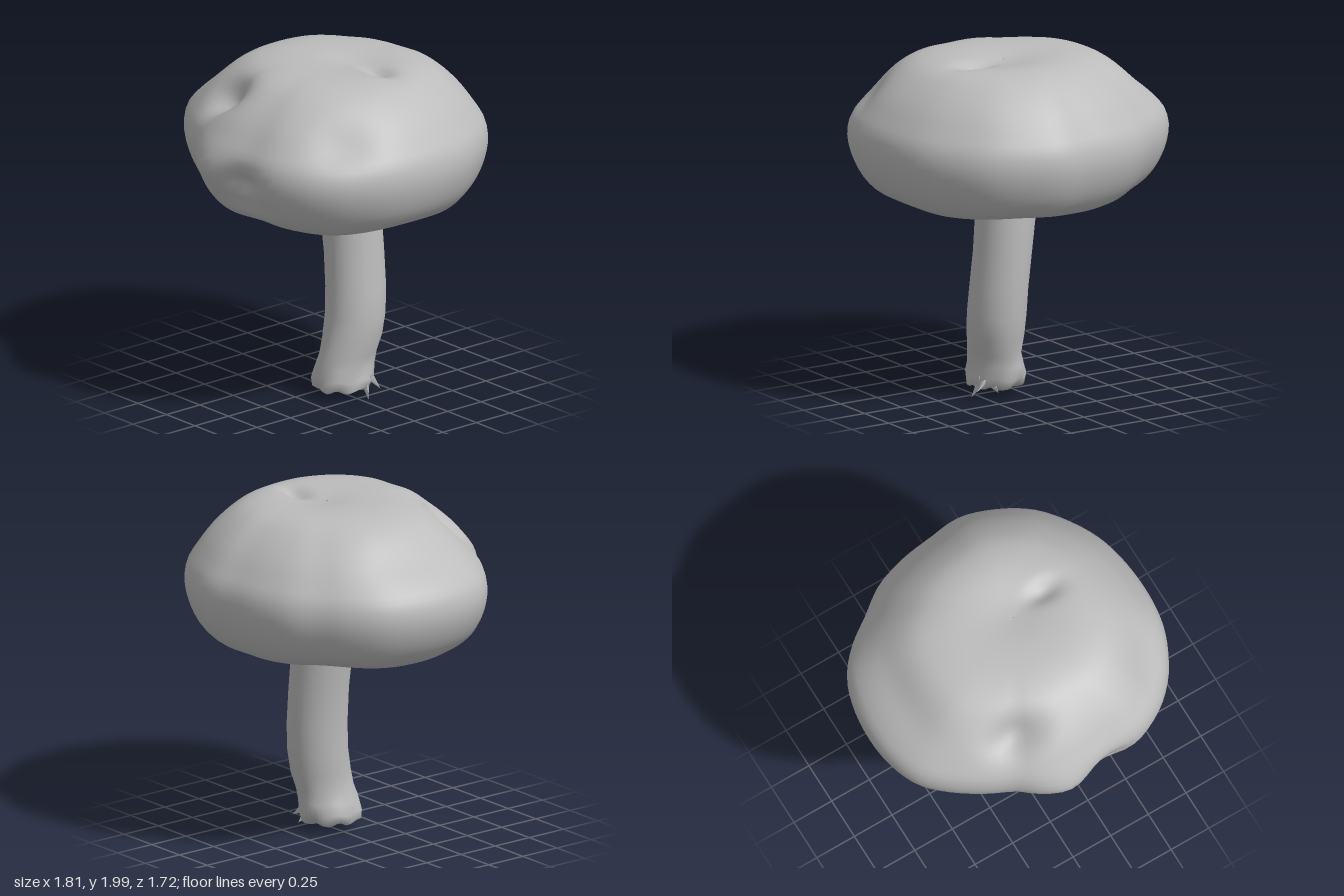
import * as THREE from 'three';

const V3 = (x, y, z) => new THREE.Vector3(x, y, z);

// Smooth closed-around surface through rings of points, listed from start to end of the profile
function loft(rings) {
  const n = rings[0].length, pos = [], idx = [];
  rings.forEach(r => r.forEach(p => pos.push(p.x, p.y, p.z)));
  for (let j = 0; j < rings.length - 1; j++) {
    for (let i = 0; i < n; i++) {
      const a = j * n + i, b = j * n + (i + 1) % n, c = a + n, d = b + n;
      idx.push(a, c, b, b, c, d);
    }
  }
  const g = new THREE.BufferGeometry();
  g.setAttribute('position', new THREE.Float32BufferAttribute(pos, 3));
  g.setIndex(idx);
  g.computeVertexNormals();
  return g;
}

// Rounded push: centre, radii along x, y and z, and the offset at the centre
const dents = [
  { c: [-0.24, 1.81, 0.53], r: [0.19, 0.12, 0.13], d: [0.03, -0.07, -0.06] },  // scooped hollow
  { c: [0.18, 1.46, 0.82], r: [0.12, 0.07, 0.2], d: [0, 0, -0.07] },           // pinched pit
  { c: [0.18, 1.34, 0.74], r: [0.22, 0.06, 0.2], d: [0, 0, -0.03] },           // fold under the pit
  { c: [-0.1, 1.5, 0.85], r: [0.16, 0.1, 0.2], d: [0, 0, 0.03] },              // swelling beside it
  { c: [0.32, 1.98, -0.1], r: [0.12, 0.3, 0.07], d: [0, -0.05, 0] },           // crease on the crown
  { c: [0.15, 1.98, -0.12], r: [0.25, 0.3, 0.2], d: [0, -0.03, 0] },           // shallow crown dip
  { c: [0.62, 1.72, 0.45], r: [0.2, 0.16, 0.2], d: [-0.03, -0.03, -0.02] },    // flattened shoulder
  { c: [-0.7, 1.82, 0], r: [0.2, 0.15, 0.5], d: [0.02, -0.03, 0] }
];
function push(p) {
  const out = p.clone();
  for (const { c, r, d } of dents) {
    const q = ((p.x - c[0]) / r[0]) ** 2 + ((p.y - c[1]) / r[1]) ** 2 + ((p.z - c[2]) / r[2]) ** 2;
    const w = Math.exp(-q * 1.3);
    out.add(V3(d[0] * w, d[1] * w, d[2] * w));
  }
  return out;
}

function capGeometry() {
  // Rim outline seen from above (x, z)
  const outline = new THREE.CatmullRomCurve3([
    [0.9, 0], [0.88, 0.28], [0.79, 0.5], [0.7, 0.62], [0.58, 0.72], [0.4, 0.8], [0.2, 0.815],
    [0, 0.835], [-0.13, 0.82], [-0.25, 0.77], [-0.34, 0.7], [-0.5, 0.62], [-0.68, 0.5],
    [-0.81, 0.37], [-0.88, 0.2], [-0.905, 0], [-0.88, -0.22], [-0.82, -0.38], [-0.7, -0.52],
    [-0.55, -0.63], [-0.4, -0.74], [-0.2, -0.81], [0, -0.84], [0.2, -0.86], [0.4, -0.8],
    [0.6, -0.68], [0.75, -0.5], [0.85, -0.3]
  ].map(([x, z]) => V3(x, 0, z)), true).getSpacedPoints(96).slice(0, 96);
  // Profile from the gill hollow, round the rim, to the crown (share of rim radius, height)
  const profile = new THREE.CatmullRomCurve3([
    [0.08, 1.42], [0.25, 1.4], [0.38, 1.33], [0.5, 1.24], [0.6, 1.19], [0.7, 1.175], [0.81, 1.2],
    [0.9, 1.27], [0.96, 1.36], [0.995, 1.46], [1, 1.53], [0.98, 1.61], [0.92, 1.69], [0.83, 1.79],
    [0.71, 1.885], [0.59, 1.95], [0.44, 1.985], [0.25, 1.995], [0.002, 1.99]
  ].map(([f, y]) => V3(f, y, 0))).getSpacedPoints(54);
  return loft(profile.map(({ x: f, y }) => outline.map((o, i) => {
    const a = i / 96 * Math.PI * 2;
    const lip = Math.exp(-(((y - 1.18) / 0.06) ** 2)) * 0.008 * Math.sin(a * 5 + 1);
    const s = 1 - f;
    return push(V3(o.x * f + 0.09 * s, y + lip, o.z * f - 0.05 * s));
  })));
}

function stemGeometry() {
  // Height, then x range and z range, from the hollow foot upward
  const sections = [
    [0.1, 0.1, 0.12, -0.01, 0.01], [0.085, 0.04, 0.2, -0.08, 0.09], [0.045, -0.01, 0.25, -0.12, 0.15],
    [0.06, -0.045, 0.28, -0.17, 0.172], [0.11, -0.05, 0.28, -0.2, 0.176], [0.18, -0.032, 0.27, -0.2, 0.165],
    [0.25, -0.005, 0.28, -0.205, 0.15], [0.35, -0.01, 0.3, -0.235, 0.128], [0.48, -0.018, 0.315, -0.25, 0.106],
    [0.64, -0.022, 0.303, -0.262, 0.098], [0.85, -0.045, 0.283, -0.265, 0.09], [1.05, -0.073, 0.268, -0.262, 0.095],
    [1.18, -0.098, 0.26, -0.257, 0.11], [1.3, -0.12, 0.27, -0.27, 0.13], [1.44, -0.16, 0.31, -0.31, 0.17]
  ];
  const n = 40;
  return loft(sections.map(([y, x0, x1, z0, z1]) => Array.from({ length: n }, (_, i) => {
    const a = i / n * Math.PI * 2;
    const rough = Math.max(0, 1 - y / 0.28); // ragged foot
    const k = 1 + 0.05 * rough * Math.sin(a * 5 + y * 30);
    return V3((x0 + x1) / 2 + (x1 - x0) / 2 * k * Math.cos(a),
      y + 0.012 * rough * Math.sin(a * 7 + 2),
      (z0 + z1) / 2 + (z1 - z0) / 2 * k * Math.sin(a));
  })));
}

// Torn sliver: a three-sided spike from a base point to a tip
function sliverGeometry(base, tip, radius) {
  const dir = tip.clone().sub(base);
  const g = new THREE.ConeGeometry(radius, dir.length(), 3);
  g.translate(0, dir.length() / 2, 0);
  g.applyQuaternion(new THREE.Quaternion().setFromUnitVectors(V3(0, 1, 0), dir.normalize()));
  return g.translate(base.x, base.y, base.z);
}

export function createModel() {
  const grey = new THREE.MeshStandardMaterial({ color: 0xbcbcbc });
  grey.name = 'mushroomGrey';
  const model = new THREE.Group();
  model.name = 'mushroom';
  const add = (name, geometry) => {
    const mesh = new THREE.Mesh(geometry, grey);
    mesh.name = name;
    model.add(mesh);
  };

  add('cap', capGeometry());
  add('stem', stemGeometry());

  // Torn slivers at the foot
  [
    [V3(0.24, 0.1, -0.07), V3(0.3, 0.0, -0.04), 0.035],
    [V3(0.25, 0.1, -0.1), V3(0.315, 0.05, -0.12), 0.025],
    [V3(0.25, 0.06, -0.05), V3(0.28, 0.14, -0.09), 0.02],
    [V3(0.2, 0.08, -0.12), V3(0.2, 0.04, -0.17), 0.03]
  ].forEach(([b, t, r]) => add('footSliver', sliverGeometry(b, t, r)));

  return model;
}
